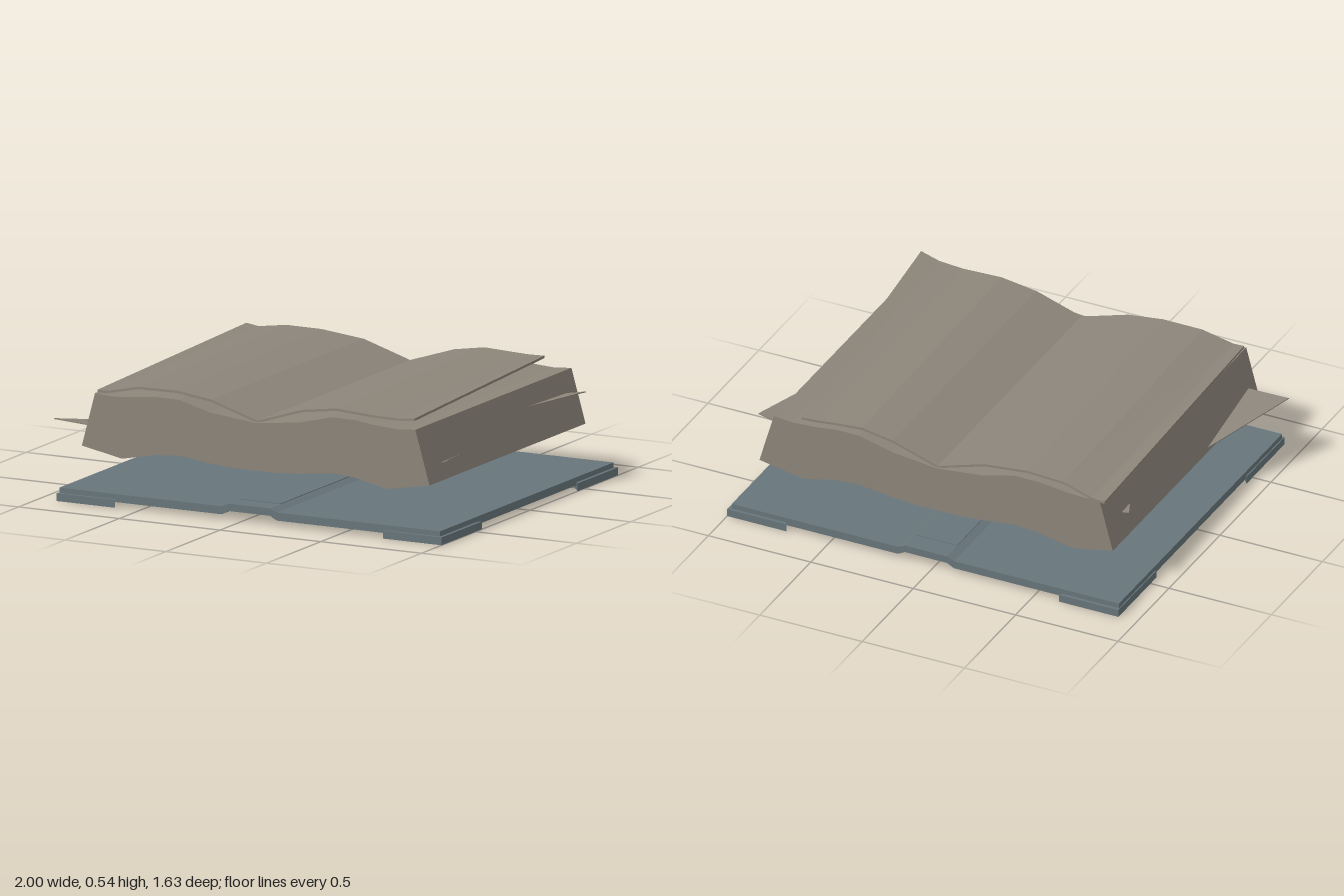
import * as THREE from 'three';

const paper = new THREE.MeshStandardMaterial({ name: 'paper', color: 0x8c857a });
const leather = new THREE.MeshStandardMaterial({ name: 'cover slate', color: 0x67757a });

function add(group, name, geometry, material) {
  const mesh = new THREE.Mesh(geometry, material);
  mesh.name = name;
  group.add(mesh);
  return mesh;
}

// Outline in x/y swept along z
function prism(points, z0, z1) {
  const shape = new THREE.Shape(points.map(([x, y]) => new THREE.Vector2(x, y)));
  return new THREE.ExtrudeGeometry(shape, { depth: z1 - z0, bevelEnabled: false }).translate(0, 0, z0);
}

// Closed thin slab between a front edge and a back edge, both running along +x
function sheet(front, back, thickness) {
  const pos = [];
  const low = ([x, y, z]) => [x, y - thickness, z];
  const quad = (a, b, c, d) => pos.push(...a, ...b, ...c, ...a, ...c, ...d);
  const n = front.length - 1;
  for (let i = 0; i < n; i++) {
    const [a, b, c, d] = [front[i], front[i + 1], back[i + 1], back[i]];
    quad(a, b, c, d);
    quad(low(d), low(c), low(b), low(a));
    quad(low(a), low(b), b, a);
    quad(low(c), low(d), d, c);
  }
  quad(low(back[0]), low(front[0]), front[0], back[0]);
  quad(low(front[n]), low(back[n]), back[n], front[n]);
  const g = new THREE.BufferGeometry();
  g.setAttribute('position', new THREE.Float32BufferAttribute(pos, 3));
  g.computeVertexNormals();
  return g;
}

// Thin torn triangle; corners run anticlockwise seen from above
function scrap(a, b, c) {
  const pos = [];
  const low = ([x, y, z]) => [x, y - 0.004, z];
  pos.push(...a, ...b, ...c, ...low(c), ...low(b), ...low(a));
  for (const [p, q] of [[a, b], [b, c], [c, a]]) {
    pos.push(...low(p), ...low(q), ...q, ...low(p), ...q, ...p);
  }
  const g = new THREE.BufferGeometry();
  g.setAttribute('position', new THREE.Float32BufferAttribute(pos, 3));
  g.computeVertexNormals();
  return g;
}

export function createModel() {
  const book = new THREE.Group();
  book.name = 'openBook';

  // Cover with raised spine
  const cover = new THREE.Group();
  cover.name = 'cover';
  book.add(cover);
  add(cover, 'coverBoards', prism([
    [-0.905, 0.022], [-0.1, 0.022], [-0.065, 0.04], [0.14, 0.04], [0.175, 0.022], [0.985, 0.022],
    [0.985, 0.058], [0.175, 0.058], [0.14, 0.073], [-0.065, 0.073], [-0.1, 0.058], [-0.905, 0.058],
  ], -0.8, 0.8), leather);
  add(cover, 'spineLining', new THREE.BoxGeometry(0.205, 0.004, 1.4).translate(0.0375, 0.074, 0), leather);

  // Triangular corner guards
  for (const sx of [-1, 1]) {
    for (const sz of [-1, 1]) {
      const x = sx < 0 ? -0.91 : 1, z = sz * 0.815;
      const shape = new THREE.Shape([
        new THREE.Vector2(x, -z),
        new THREE.Vector2(x - sx * 0.29, -z),
        new THREE.Vector2(x, -z + sz * 0.375),
      ]);
      const g = new THREE.ExtrudeGeometry(shape, { depth: 0.035, bevelEnabled: false }).rotateX(-Math.PI / 2);
      add(cover, 'cornerGuard', g, leather);
    }
  }

  // Wavy block of pages
  const pages = new THREE.Group();
  pages.name = 'pages';
  book.add(pages);
  add(pages, 'pageBlock', prism([
    [-0.82, 0.245], [-0.62, 0.207], [-0.46, 0.24], [-0.34, 0.25], [-0.19, 0.232], [-0.07, 0.222],
    [0.15, 0.222], [0.26, 0.23], [0.42, 0.25], [0.53, 0.243], [0.69, 0.207], [0.905, 0.245],
    [0.835, 0.487], [0.75, 0.48], [0.62, 0.488], [0.53, 0.5], [0.42, 0.5], [0.26, 0.46],
    [0.04, 0.435], [-0.19, 0.46], [-0.34, 0.5], [-0.46, 0.5], [-0.6, 0.484], [-0.68, 0.48], [-0.755, 0.487],
  ], -0.69, 0.75), paper);

  // Lifted top leaves, twisted at their outer edges
  add(pages, 'leftLeaf', sheet(
    [[-0.75, 0.5, 0.738], [-0.7, 0.5, 0.735], [-0.55, 0.533, 0.732], [-0.36, 0.535, 0.73], [-0.19, 0.513, 0.73], [0.04, 0.442, 0.73]],
    [[-0.8, 0.512, -0.73], [-0.73, 0.507, -0.715], [-0.58, 0.533, -0.69], [-0.4, 0.535, -0.68], [-0.19, 0.513, -0.68], [0.04, 0.442, -0.68]],
    0.011), paper);
  add(pages, 'rightLeaf', sheet(
    [[0.04, 0.442, 0.73], [0.26, 0.513, 0.73], [0.43, 0.537, 0.73], [0.62, 0.527, 0.735], [0.74, 0.528, 0.745], [0.84, 0.541, 0.765]],
    [[0.04, 0.442, -0.68], [0.26, 0.513, -0.68], [0.41, 0.537, -0.68], [0.54, 0.53, -0.685], [0.62, 0.525, -0.693], [0.695, 0.525, -0.7]],
    0.011), paper);

  // Loose scraps poking out of the sides
  add(pages, 'leftFrontScrap', scrap([-1, 0.335, 0.675], [-0.79, 0.325, 0.685], [-0.815, 0.262, 0.25]), paper);
  add(pages, 'leftBackScrap', scrap([-0.825, 0.362, -0.54], [-0.79, 0.356, -0.46], [-0.79, 0.356, -0.54]), paper);
  add(pages, 'rightBackScrap', scrap([0.86, 0.395, -0.595], [0.86, 0.403, -0.24], [0.96, 0.414, -0.59]), paper);
  add(pages, 'rightFrontScrap', scrap([0.88, 0.318, 0.6], [0.915, 0.331, 0.6], [0.88, 0.318, 0.38]), paper);

  return book;
}
